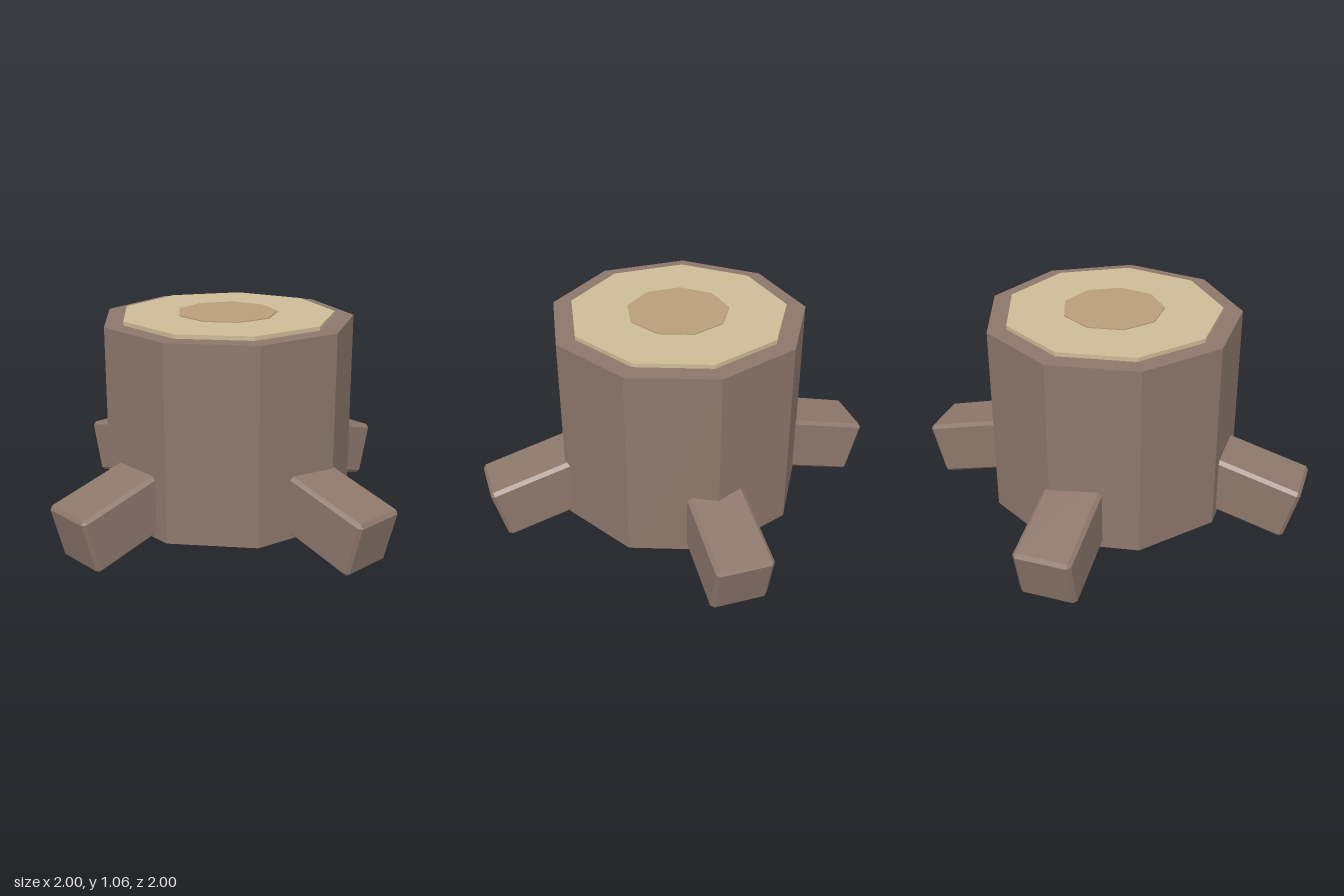
import * as THREE from 'three';
import { ConvexGeometry } from 'three/addons/geometries/ConvexGeometry.js';

const material = (color) => new THREE.MeshStandardMaterial({ color, flatShading: true });

// Box with every edge and corner cut by a single flat chamfer
function chamferedBox(w, h, d, bevel) {
  const half = [w / 2, h / 2, d / 2];
  const points = [];
  for (const sx of [-1, 1]) for (const sy of [-1, 1]) for (const sz of [-1, 1]) {
    for (let full = 0; full < 3; full++) {
      const [x, y, z] = half.map((v, i) => (i === full ? v : v - bevel));
      points.push(new THREE.Vector3(sx * x, sy * y, sz * z));
    }
  }
  return new ConvexGeometry(points);
}

export function createModel() {
  const model = new THREE.Group();
  model.name = 'treeStump';
  const bark = material(0x8d776b);

  // Nine-sided layers, a corner pointing to the back; the inner ones poke out at both ends
  const layers = [
    ['barkTrunk', 0.63, 0.075, 1.04, bark],
    ['cutWood', 0.535, 0.055, 1.06, material(0xcdbb97)],
    ['heartwood', 0.25, 0.05, 1.065, material(0xb89e7b)],
  ];
  for (const [name, radius, bottom, top, mat] of layers) {
    const layer = new THREE.Mesh(new THREE.CylinderGeometry(radius, radius, top - bottom, 9), mat);
    layer.name = name;
    layer.position.y = (bottom + top) / 2;
    layer.rotation.y = Math.PI;
    model.add(layer);
  }

  // Four chamfered roots sloping down and outwards
  const length = 0.6;
  const rootGeometry = chamferedBox(0.28, 0.286, length, 0.017);
  rootGeometry.translate(0, 0, -length / 2); // origin at the outer end
  ['frontRoot', 'leftRoot', 'backRoot', 'rightRoot'].forEach((name, i) => {
    const root = new THREE.Group();
    root.name = name;
    root.rotation.y = (i * Math.PI) / 2;
    const block = new THREE.Mesh(rootGeometry, bark);
    block.name = name + 'Block';
    block.position.set(0, 0.139, 0.967);
    block.rotation.x = THREE.MathUtils.degToRad(15);
    root.add(block);
    model.add(root);
  });

  return model;
}
